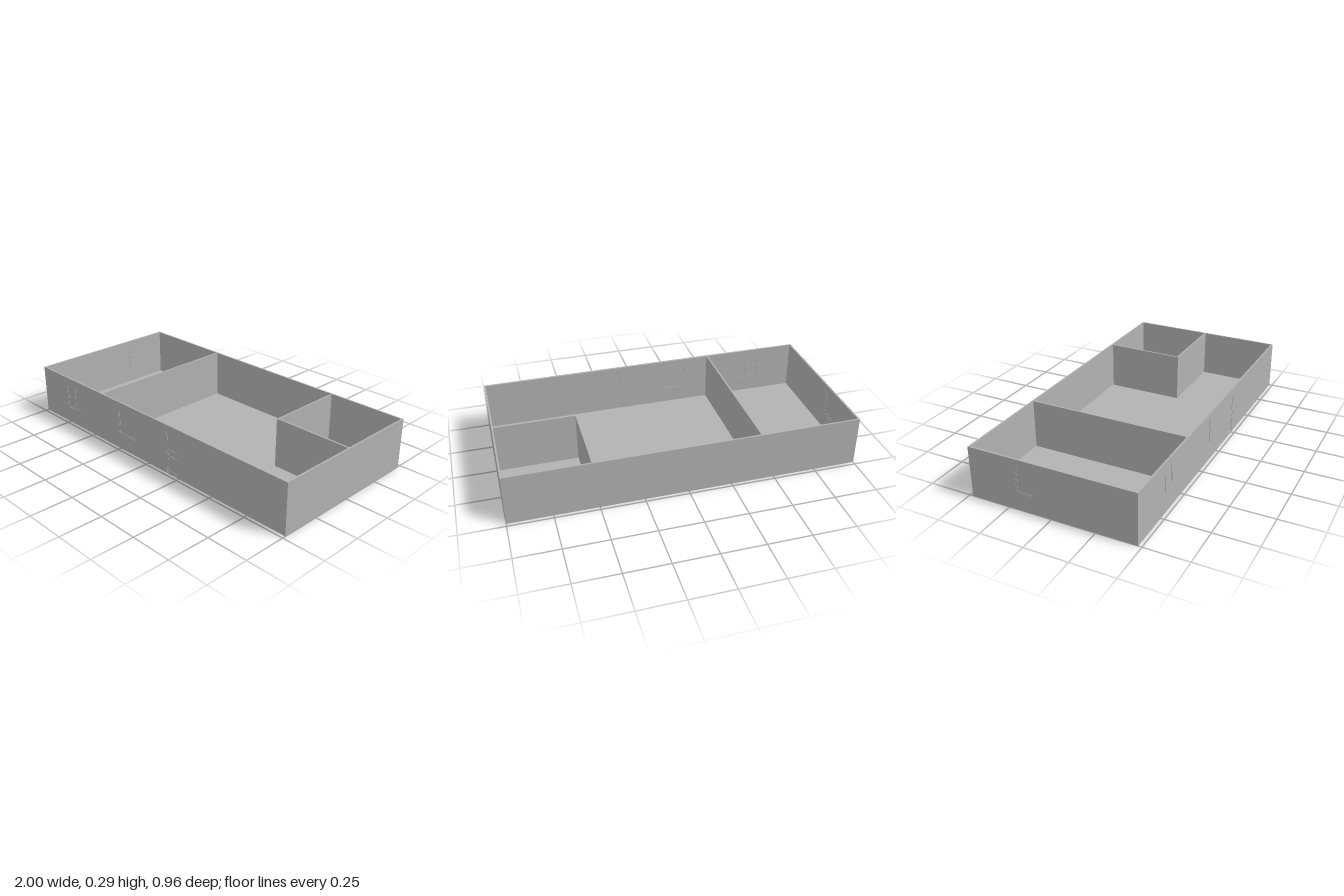
import * as THREE from 'three';

const H = 0.295, T = 0.01, W = 2, D = 0.96, FLOOR = 0.005;

// rectangle path [x0, x1, y0, y1]
function rect(PathType, [x0, x1, y0, y1]) {
  const p = new PathType();
  p.moveTo(x0, y0).lineTo(x1, y0).lineTo(x1, y1).lineTo(x0, y1).closePath();
  return p;
}

// upright slab with rectangular holes, centred on local z = 0
function slab(name, outline, holes, depth, material) {
  const shape = rect(THREE.Shape, outline);
  holes.forEach(h => shape.holes.push(rect(THREE.Path, h)));
  const geo = new THREE.ExtrudeGeometry(shape, { depth, bevelEnabled: false });
  geo.translate(0, 0, -depth / 2);
  const mesh = new THREE.Mesh(geo, material);
  mesh.name = name;
  return mesh;
}

// wall whose openings are filled with a frame and recessed panels
function wallWithOpenings(name, outline, openings, material) {
  const g = new THREE.Group();
  g.name = name;
  g.add(slab(name + 'Panel', outline, openings.map(o => o.rect), T, material));
  for (const o of openings) {
    g.add(slab(o.name + 'Frame', o.rect, o.panes, T - 0.002, material));
    o.panes.forEach(p => g.add(slab(o.name + 'Pane', p, [], T - 0.006, material)));
  }
  return g;
}

export function createModel() {
  const model = new THREE.Group();
  model.name = 'floorPlan';
  const plaster = new THREE.MeshStandardMaterial({ color: 0xb2b2b2 });
  plaster.name = 'plainGrey';

  // box from its x and z ranges
  const block = (name, x0, x1, z0, z1, y0 = FLOOR, y1 = H) => {
    const m = new THREE.Mesh(new THREE.BoxGeometry(x1 - x0, y1 - y0, z1 - z0), plaster);
    m.position.set((x0 + x1) / 2, (y0 + y1) / 2, (z0 + z1) / 2);
    m.name = name;
    model.add(m);
  };

  // floor and solid outer walls
  block('floor', -W / 2 + T, W / 2 - T, -D / 2 + T, D / 2 - T, 0, FLOOR);
  block('backWall', -W / 2, W / 2, -D / 2, -D / 2 + T, 0);
  block('sideWall', W / 2 - T, W / 2, -D / 2 + T, D / 2 - T, 0);

  // inner partitions
  block('longPartition', -0.42, -0.41, -D / 2 + T, D / 2 - T);
  block('smallRoomSide', 0.52, 0.53, -0.465, 0.005);
  block('smallRoomFront', 0.53, W / 2 - T, -0.005, 0.005);

  // front wall with two windows and a door
  const front = wallWithOpenings('frontWall', [-W / 2, W / 2, 0, H], [
    { name: 'doubleWindow', rect: [-0.76, -0.61, 0.1, 0.255],
      panes: [[-0.75, -0.69, 0.11, 0.245], [-0.68, -0.62, 0.11, 0.245]] },
    { name: 'singleWindow', rect: [-0.255, -0.105, 0.1, 0.255],
      panes: [[-0.247, -0.113, 0.108, 0.247]] },
    { name: 'door', rect: [0.155, 0.255, 0.006, 0.245],
      panes: [[0.165, 0.245, 0.02, 0.1], [0.165, 0.245, 0.113, 0.133], [0.165, 0.245, 0.15, 0.23]] },
  ], plaster);
  front.position.z = D / 2 - T / 2;
  model.add(front);

  // end wall with one window; its local x runs along world z
  const end = wallWithOpenings('endWall', [-D / 2 + T, D / 2 - T, 0, H], [
    { name: 'endWindow', rect: [-0.2, -0.09, 0.1, 0.255], panes: [[-0.19, -0.1, 0.11, 0.245]] },
  ], plaster);
  end.rotation.y = -Math.PI / 2;
  end.position.x = -W / 2 + T / 2;
  model.add(end);

  return model;
}
